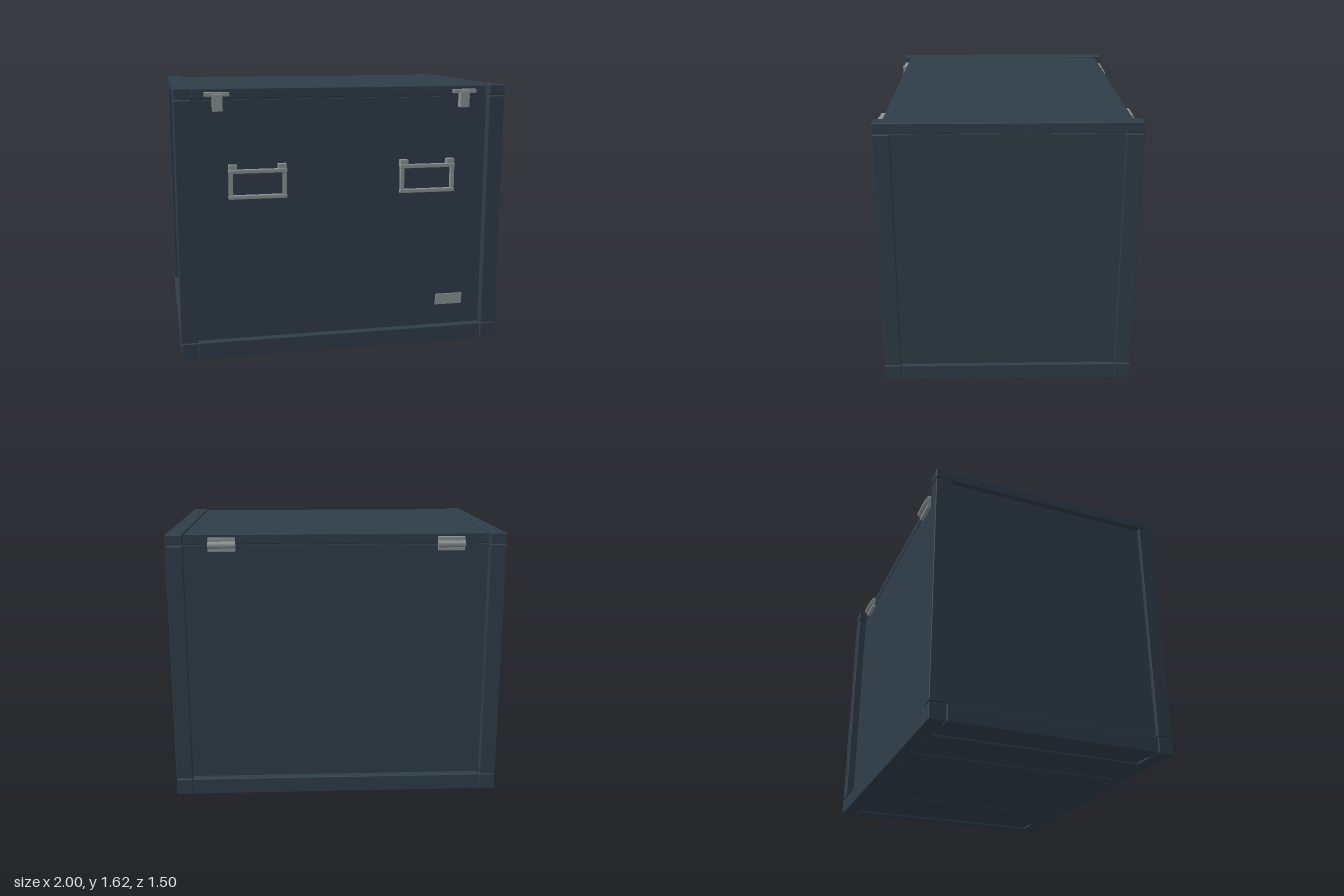
import * as THREE from 'three';
import { RoundedBoxGeometry } from 'three/addons/geometries/RoundedBoxGeometry.js';

export function createModel() {
  const model = new THREE.Group();
  model.name = 'storageCase';
  const paint = new THREE.MeshStandardMaterial({ name: 'slate blue paint', color: 0x2f3d48 });
  const metal = new THREE.MeshStandardMaterial({ name: 'grey metal', color: 0x8a9292 });

  // Box given by its lower and upper corner, with slightly eased edges
  function block(name, min, max, material = paint, ease = 0.005, parent = model) {
    const s = max.map((v, i) => v - min[i]);
    const geometry = ease > 0
      ? new RoundedBoxGeometry(s[0], s[1], s[2], 1, ease)
      : new THREE.BoxGeometry(s[0], s[1], s[2]);
    const mesh = new THREE.Mesh(geometry, material);
    mesh.position.set(...max.map((v, i) => (v + min[i]) / 2));
    mesh.name = name;
    parent.add(mesh);
    return mesh;
  }

  // The same box on the +x or -x side
  function sided(name, side, min, max, material, ease, parent) {
    const lo = [side > 0 ? min[0] : -max[0], min[1], min[2]];
    const hi = [side > 0 ? max[0] : -min[0], max[1], max[2]];
    return block(name, lo, hi, material, ease, parent);
  }

  // Recessed walls and lid panel
  block('bodyPanels', [-0.975, 0.015, -0.7], [0.975, 1.553, 0.7], paint, 0);
  block('lidPanel', [-0.898, 1.562, -0.7], [0.898, 1.62, 0.7]);
  block('lidSeal', [-0.96, 1.55, -0.685], [0.96, 1.59, 0.685], paint, 0);

  // Floor boards with narrow joints
  for (const [a, b] of [[-0.76, -0.46], [-0.445, 0.43], [0.445, 0.76]]) {
    block('floorBoard', [a, 0.003, -0.65], [b, 0.03, 0.65], paint, 0);
  }

  for (const end of [-1, 1]) {
    // Long rails at the foot of front and back
    block('bottomRail', [-0.898, 0, end > 0 ? 0.65 : -0.748], [0.898, 0.1, end > 0 ? 0.748 : -0.65]);
  }

  for (const side of [-1, 1]) {
    sided('lidBatten', side, [0.902, 1.563, -0.75], [1, 1.624, 0.75]);
    sided('sideBottomRail', side, [0.9, 0, -0.648], [1, 0.1, 0.648]);

    // Corner posts and feet
    for (const end of [-1, 1]) {
      const z0 = end > 0 ? 0.652 : -0.75;
      const z1 = end > 0 ? 0.75 : -0.652;
      sided('cornerPost', side, [0.902, 0.104, z0], [1, 1.557, z1]);
      sided('cornerFoot', side, [0.902, 0, z0], [1, 0.1, z1]);
    }

    // Latch: bar on the lid with a hanging tab
    const latch = new THREE.Group();
    latch.name = 'latch';
    model.add(latch);
    sided('latchBar', side, [0.68, 1.575, 0.7], [0.825, 1.6, 0.732], metal, 0.003, latch);
    sided('latchTab', side, [0.72, 1.49, 0.7], [0.78, 1.59, 0.742], metal, 0.003, latch);

    // Handle: rectangular pull hanging from two ears
    const handle = new THREE.Group();
    handle.name = 'handle';
    model.add(handle);
    for (const x of [0.35, 0.645]) {
      sided('handleEar', side, [x, 1.13, 0.7], [x + 0.05, 1.177, 0.738], metal, 0.003, handle);
    }
    for (const x of [0.35, 0.67]) {
      sided('handleUpright', side, [x, 0.99, 0.718], [x + 0.025, 1.13, 0.742], metal, 0.003, handle);
    }
    for (const y of [0.972, 1.125]) {
      sided('handleBar', side, [0.347, y, 0.718], [0.697, y + 0.024, 0.745], metal, 0.005, handle);
    }

    // Back hinge: two leaves and a central knuckle
    const hinge = new THREE.Group();
    hinge.name = 'hinge';
    model.add(hinge);
    sided('hingeLowerLeaf', side, [0.597, 1.52, -0.724], [0.757, 1.55, -0.7], metal, 0.003, hinge);
    sided('hingeUpperLeaf', side, [0.597, 1.57, -0.724], [0.757, 1.602, -0.7], metal, 0.003, hinge);
    const knuckle = new THREE.Mesh(new THREE.CylinderGeometry(0.021, 0.021, 0.16, 10), metal);
    knuckle.name = 'hingeKnuckle';
    knuckle.rotation.z = Math.PI / 2;
    knuckle.position.set(side * 0.677, 1.56, -0.724);
    hinge.add(knuckle);
  }

  // Small blank plate on the front
  block('namePlate', [0.607, 0.232, 0.7], [0.782, 0.3, 0.709], metal, 0);

  return model;
}
